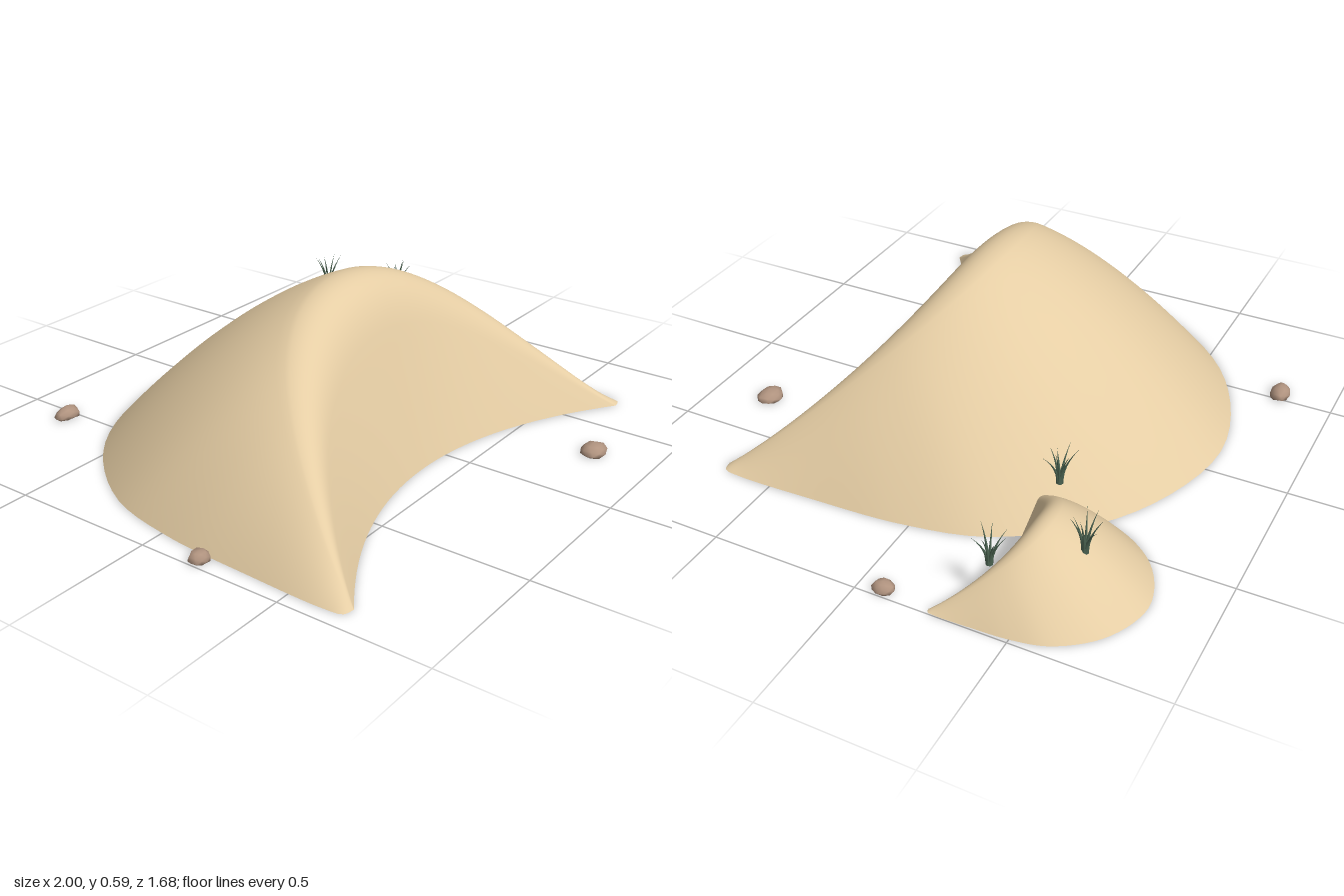
import * as THREE from 'three';
import { mergeVertices } from 'three/addons/utils/BufferGeometryUtils.js';

const V = (x, y, z) => new THREE.Vector3(x, y, z);

// Outer foot of the windward side, from the middle of the back to the blunt horn tip
const backHalf = [[0, -0.735], [0.285, -0.67], [0.53, -0.52], [0.735, -0.25], [0.805, 0.02],
  [0.828, 0.35], [0.835, 0.62], [0.825, 0.68], [0.79, 0.69]];
const backCurve = new THREE.CatmullRomCurve3([
  ...backHalf.slice(1).reverse().map(([x, z]) => V(-x, 0, z)),
  ...backHalf.map(([x, z]) => V(x, 0, z)),
]);

// The three guide lines of a crescent dune, for s from -1 to 1
const backFoot = s => backCurve.getPointAt((s + 1) / 2);
const crest = s => {
  const t = Math.abs(s);
  return V(0.79 * s, 0.625 * Math.max(0, 1 - t * t) ** 1.1, 0.17 + 0.52 * t ** 2.5);
};
const frontFoot = s => V(0.79 * s, 0, 0.4 + 0.29 * s * s);

// One slice: bulging windward slope, rounded crest, straight slip face
function slice(s) {
  const b = backFoot(s), c = crest(s), f = frontFoot(s), pts = [];
  const windward = w => {
    const p = b.clone().lerp(c, w);
    p.y = c.y * (1 - (1 - w) ** 1.5);
    return p;
  };
  for (let i = 0; i < 20; i++) pts.push(windward((0.85 * i) / 20));
  const round = new THREE.QuadraticBezierCurve3(windward(0.85), c, c.clone().lerp(f, 0.3));
  pts.push(...round.getPoints(12));
  for (let i = 1; i <= 8; i++) pts.push(c.clone().lerp(f, 0.3 + (0.7 * i) / 8));
  return pts;
}

// Joins equal-length slices into a smooth sheet
function loft(slices, flip) {
  const n = slices[0].length, index = [];
  for (let i = 0; i < slices.length - 1; i++) {
    for (let j = 0; j < n - 1; j++) {
      const a = i * n + j, b = a + 1, c = b + n, d = a + n;
      index.push(...(flip ? [a, c, b, a, d, c] : [a, b, c, a, c, d]));
    }
  }
  const g = new THREE.BufferGeometry().setFromPoints(slices.flat());
  g.setIndex(index);
  g.computeVertexNormals();
  return g;
}

export function createModel() {
  const model = new THREE.Group();
  const sand = new THREE.MeshStandardMaterial({ name: 'sand', color: 0xe5cda4 });
  const stone = new THREE.MeshStandardMaterial({ name: 'stone', color: 0xb0937f });
  const grass = new THREE.MeshStandardMaterial({ name: 'grass', color: 0x4c6452 });

  let seed = 7;
  const rand = () => (seed = (seed * 16807) % 2147483647) / 2147483647;

  // Dunes: the small one is a scaled copy behind the left horn
  const steps = Array.from({ length: 81 }, (_, i) => Math.sin(((i / 40 - 1) * Math.PI) / 2));
  const top = loft(steps.map(slice), false);
  const bottom = loft(steps.map(s => [backFoot(s), frontFoot(s)]), true);
  const addDune = (name, position, scale) => {
    const dune = new THREE.Group();
    dune.name = name;
    const surface = new THREE.Mesh(top, sand);
    surface.name = 'duneSurface';
    const base = new THREE.Mesh(bottom, sand);
    base.name = 'duneBase';
    dune.add(surface, base);
    dune.position.set(...position);
    dune.scale.set(...scale);
    model.add(dune);
  };
  addDune('largeDune', [-0.115, 0, 0], [1, 1, 1]);
  addDune('smallDune', [0.688, 0, -0.511], [0.37, 0.355, 0.395]);

  // Grass tufts: thin tapered blades bending outwards
  const blade = (height, reach) => {
    const g = new THREE.ConeGeometry(0.007, height, 5, 6);
    g.translate(0, height / 2, 0);
    const p = g.attributes.position;
    for (let i = 0; i < p.count; i++) {
      const t = p.getY(i) / height;
      p.setX(i, p.getX(i) + 0.005 + reach * t * t);
    }
    g.computeVertexNormals();
    return g;
  };
  for (const [x, y, z] of [[0.42, 0.12, -0.39], [0.71, 0.145, -0.605], [0.87, 0.14, -0.38]]) {
    const tuft = new THREE.Group();
    tuft.name = 'grassTuft';
    const start = rand() * 6;
    for (let i = 0; i < 7; i++) {
      const m = new THREE.Mesh(blade(0.09 + 0.055 * rand(), 0.03 + 0.03 * rand()), grass);
      m.name = 'grassBlade';
      m.rotation.y = start + (i / 7) * Math.PI * 2 + 0.3 * rand();
      tuft.add(m);
    }
    tuft.position.set(x, y, z);
    model.add(tuft);
  }

  // Pebbles: lumpy stones with a flat underside
  const pebbles = [[-0.53, -0.81, 0.054, 0.036, 0.038], [0.968, -0.08, 0.032, 0.032, 0.038],
    [0.3, 0.79, 0.056, 0.034, 0.045], [-0.966, 0.19, 0.036, 0.034, 0.035]];
  for (const [x, z, rx, h, rz] of pebbles) {
    let g = new THREE.IcosahedronGeometry(1, 1);
    g.deleteAttribute('normal');
    g.deleteAttribute('uv');
    g = mergeVertices(g, 1e-3);
    const p = g.attributes.position;
    for (let i = 0; i < p.count; i++) {
      const k = 0.82 + 0.2 * rand();
      p.setXYZ(i, p.getX(i) * k * rx, Math.max(0, (p.getY(i) * k + 0.2) * h * 0.92), p.getZ(i) * k * rz);
    }
    g.computeVertexNormals();
    const m = new THREE.Mesh(g, stone);
    m.name = 'pebble';
    m.position.set(x, 0, z);
    model.add(m);
  }
  return model;
}
